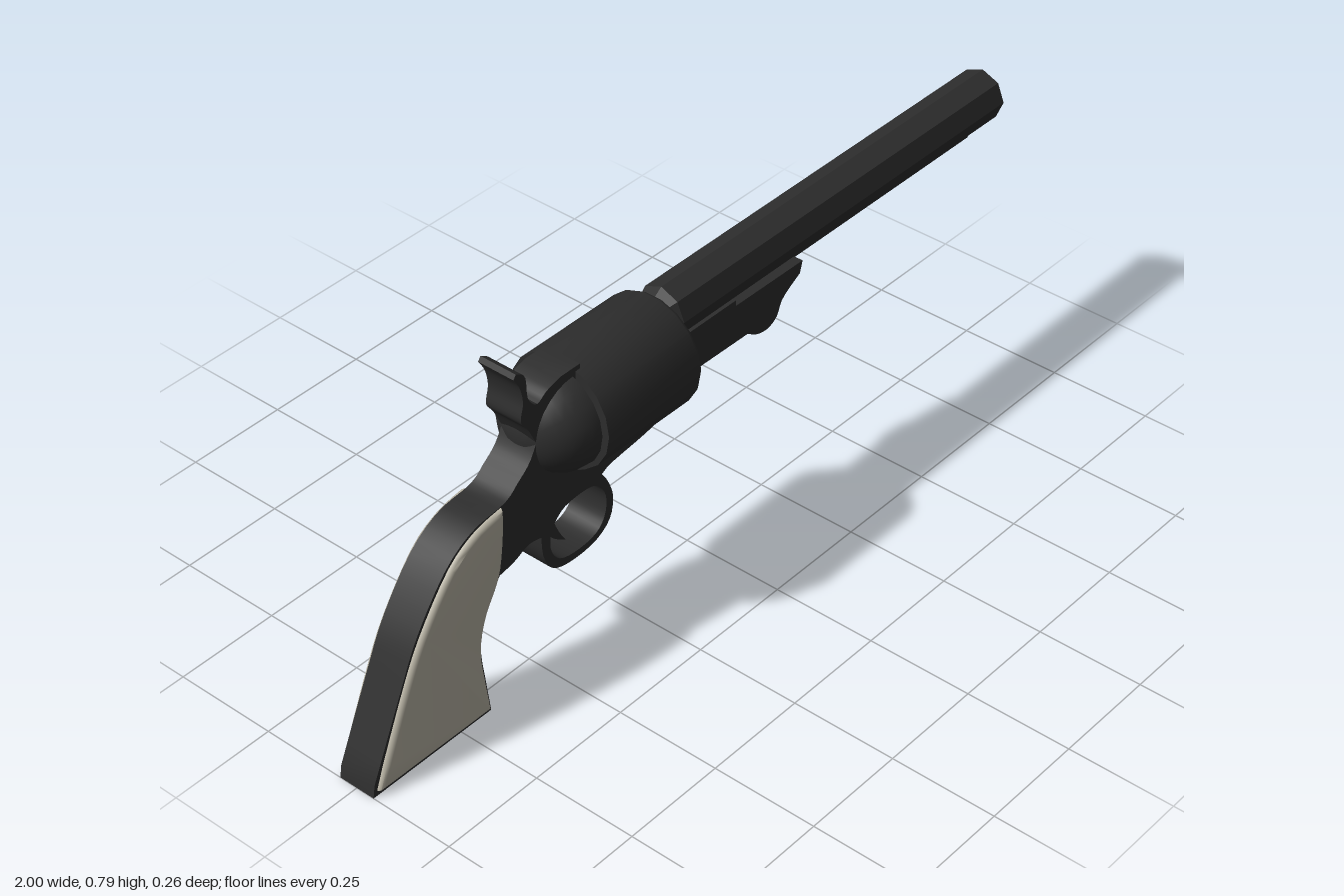
import * as THREE from 'three';
import { toCreasedNormals } from 'three/addons/utils/BufferGeometryUtils.js';

const HALF = 0.046; // half thickness of the flat parts

export function createModel() {
  const model = new THREE.Group();
  const steel = new THREE.MeshStandardMaterial({ color: 0x2d2d2d });
  steel.name = 'dark steel';
  const ivory = new THREE.MeshStandardMaterial({ color: 0xb9b4a5 });
  ivory.name = 'ivory';

  const add = (name, geometry, material = steel, crease = 0.6) => {
    const mesh = new THREE.Mesh(toCreasedNormals(geometry, crease), material);
    mesh.name = name;
    model.add(mesh);
    return mesh;
  };
  const vec = (pts) => pts.map(([x, y]) => new THREE.Vector2(x, y));

  // Joins runs of points; each run is smoothed, corners stay at the run ends
  const outline = (...runs) => {
    const pts = [];
    for (const run of runs) {
      const part = run.length > 2 ? new THREE.SplineCurve(vec(run)).getPoints(run.length * 3) : vec(run);
      for (const p of part) {
        if (!pts.length || pts[pts.length - 1].distanceTo(p) > 1e-4) pts.push(p);
      }
    }
    if (pts[0].distanceTo(pts[pts.length - 1]) < 1e-4) pts.pop();
    return pts;
  };
  const slab = (points, half = HALF, hole) => {
    const shape = new THREE.Shape(points);
    if (hole) shape.holes.push(new THREE.Path(hole));
    return new THREE.ExtrudeGeometry(shape, { depth: half * 2, bevelEnabled: false }).translate(0, 0, -half);
  };
  // Turned part along x; profile is [x, radius] from back to front
  const turned = (profile, sides, y) =>
    new THREE.LatheGeometry(vec(profile.map(([x, r]) => [r, x])), sides).rotateZ(-Math.PI / 2).translate(0, y, 0);

  // Octagonal barrel with a recessed bore
  add('barrel', turned([[-0.1, 0], [-0.1, 0.046], [-0.08, 0.061], [1, 0.061], [1, 0.049], [0.95, 0.047], [0.95, 0]], 8, 0.65));

  // Loading rod under the barrel
  add('loadingRod', turned([[0.2, 0], [0.2, 0.014], [0.94, 0.014], [0.952, 0.009], [0.952, 0]], 10, 0.576), steel, 0.8);

  // Rotating cylinder with a rimmed front
  add('cylinder', turned([[-0.388, 0], [-0.388, 0.131], [-0.112, 0.131], [-0.104, 0.126], [-0.104, 0.114],
    [-0.112, 0.111], [-0.112, 0]], 18, 0.577));

  // Rounded recoil shield behind the cylinder
  const dome = [];
  for (let i = 0; i <= 8; i++) {
    const a = (i / 8) * Math.PI / 2;
    dome.push([-0.396 - 0.12 * Math.cos(a), 0.121 * Math.sin(a)]);
  }
  dome.push([-0.396, 0]);
  add('recoilShield', turned(dome, 20, 0.579));

  // Frame, grip core and lower strap in one silhouette
  add('frame', slab(outline(
    [[-0.4, 0.6], [-0.5, 0.6]],
    [[-0.5, 0.6], [-0.525, 0.555], [-0.56, 0.525], [-0.6, 0.498], [-0.69, 0.485], [-0.77, 0.435],
      [-0.855, 0.325], [-0.91, 0.215], [-0.995, 0.03]],
    [[-0.995, 0.03], [-1, 0]],
    [[-1, 0], [-0.663, 0]],
    [[-0.663, 0], [-0.675, 0.09], [-0.684, 0.18], [-0.665, 0.255], [-0.622, 0.328]],
    [[-0.622, 0.328], [-0.58, 0.336], [-0.535, 0.353], [-0.49, 0.345]],
    [[-0.49, 0.345], [-0.465, 0.38], [-0.42, 0.39], [-0.33, 0.395], [-0.29, 0.41], [-0.18, 0.424], [-0.11, 0.442], [-0.085, 0.458]],
    [[-0.085, 0.458], [-0.095, 0.464]],
    [[-0.095, 0.464], [-0.16, 0.443], [-0.28, 0.436], [-0.36, 0.44], [-0.396, 0.458]],
    [[-0.396, 0.458], [-0.396, 0.6]],
  )));

  // Trigger guard loop
  add('triggerGuard', slab(
    outline([[-0.5, 0.35], [-0.495, 0.295], [-0.47, 0.25], [-0.42, 0.233], [-0.345, 0.238], [-0.298, 0.268],
      [-0.285, 0.32], [-0.3, 0.37], [-0.325, 0.41]], [[-0.325, 0.41], [-0.46, 0.41]]),
    HALF,
    outline([[-0.472, 0.34], [-0.473, 0.3], [-0.452, 0.264], [-0.41, 0.25], [-0.35, 0.254], [-0.317, 0.277],
      [-0.305, 0.32], [-0.317, 0.36], [-0.35, 0.386], [-0.42, 0.386], [-0.455, 0.366], [-0.472, 0.34]])));

  // Curved trigger
  add('trigger', slab(outline(
    [[-0.445, 0.4], [-0.452, 0.34], [-0.44, 0.295], [-0.4, 0.265]],
    [[-0.4, 0.265], [-0.42, 0.3], [-0.432, 0.34], [-0.415, 0.4]]), 0.018));

  // Barrel lug, holding the loading lever joint
  add('barrelLug', slab(outline(
    [[-0.095, 0.6], [-0.095, 0.452]],
    [[-0.095, 0.452], [-0.065, 0.465], [-0.045, 0.49], [0, 0.495]],
    [[0, 0.495], [0.14, 0.493]],
    [[0.14, 0.493], [0.17, 0.475], [0.205, 0.47], [0.235, 0.485], [0.255, 0.522], [0.31, 0.556]],
    [[0.31, 0.556], [0.318, 0.584], [0.1, 0.584], [0.1, 0.6]].slice(0, 2),
    [[0.1, 0.586], [0.1, 0.6]])));

  // Hammer with its spur, and the nose reaching over the cylinder
  add('hammer', slab(outline(
    [[-0.49, 0.56], [-0.51, 0.6]],
    [[-0.51, 0.6], [-0.527, 0.635], [-0.546, 0.665], [-0.538, 0.705], [-0.545, 0.745], [-0.562, 0.775]],
    [[-0.562, 0.775], [-0.555, 0.785]],
    [[-0.555, 0.785], [-0.53, 0.765], [-0.524, 0.71], [-0.5, 0.682], [-0.47, 0.698], [-0.43, 0.709]],
    [[-0.43, 0.709], [-0.375, 0.709]],
    [[-0.375, 0.709], [-0.375, 0.64]],
    [[-0.375, 0.64], [-0.43, 0.6]])));

  // Ivory grip panels with bevelled edges, one on each side
  const panel = outline(
    [[-0.622, 0.482], [-0.69, 0.467], [-0.758, 0.422], [-0.84, 0.315], [-0.895, 0.21], [-0.976, 0.022]],
    [[-0.976, 0.022], [-0.682, 0.022]],
    [[-0.682, 0.022], [-0.692, 0.09], [-0.701, 0.18], [-0.683, 0.26], [-0.642, 0.335], [-0.627, 0.41], [-0.622, 0.482]]);
  for (const side of [1, -1]) {
    const grip = new THREE.ExtrudeGeometry(new THREE.Shape(panel),
      { depth: 0.002, bevelThickness: 0.009, bevelSize: 0.011, bevelSegments: 2 });
    grip.translate(0, 0, side * (HALF + 0.001) - 0.001);
    add(side > 0 ? 'frontGripPanel' : 'backGripPanel', grip, ivory, 0.9);
  }
  return model;
}
